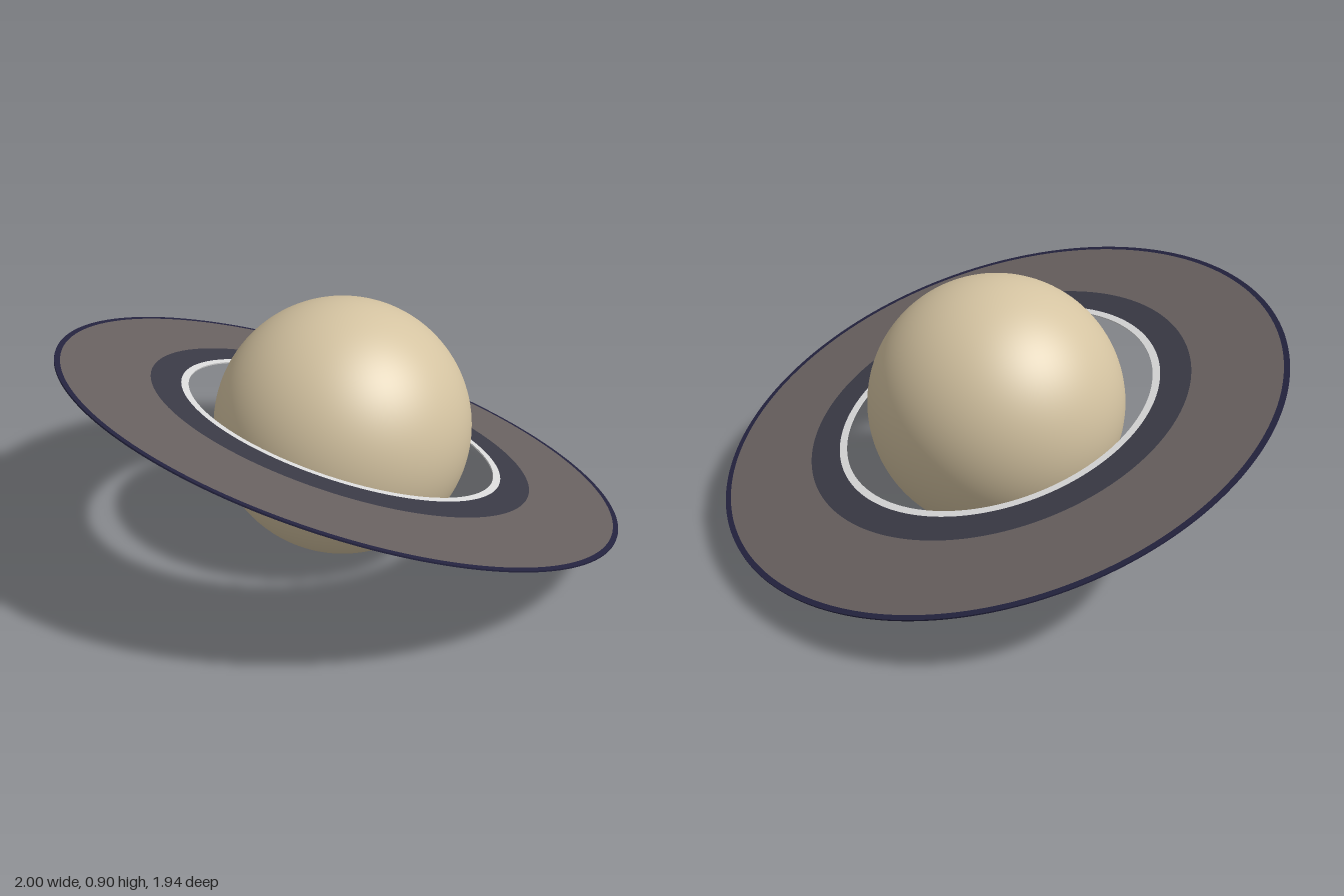
import * as THREE from 'three';

const mat = (name, color) => {
  const m = new THREE.MeshStandardMaterial({ color });
  m.name = name;
  return m;
};

// Flat annulus, centred on its own thickness, facing +z
function annulus(inner, outer, depth) {
  const shape = new THREE.Shape().absarc(0, 0, outer, 0, Math.PI * 2, false);
  shape.holes.push(new THREE.Path().absarc(0, 0, inner, 0, Math.PI * 2, true));
  const geo = new THREE.ExtrudeGeometry(shape, { depth, bevelEnabled: false, curveSegments: 128 });
  return geo.translate(0, 0, -depth / 2);
}

export function createModel() {
  const model = new THREE.Group();
  model.name = 'ringedPlanet';
  const centreY = 0.452;

  // Globe resting on the ground plane
  const globe = new THREE.Mesh(new THREE.SphereGeometry(0.452, 96, 64), mat('sand', 0xd4c3a1));
  globe.name = 'globe';
  globe.position.y = centreY;
  model.add(globe);

  // Tilted ring system: high at the front and on the model's right
  const rings = new THREE.Group();
  rings.name = 'ringSystem';
  rings.position.y = centreY;
  rings.quaternion.setFromUnitVectors(
    new THREE.Vector3(0, 0, 1),
    new THREE.Vector3(0.161, 0.944, -0.289).normalize()
  );
  model.add(rings);

  // Concentric bands: name, inner radius, outer radius, material
  const bands = [
    ['innerPaleBand', 0.558, 0.584, mat('pale grey', 0xdcdcdc)],
    ['innerDarkBand', 0.584, 0.69, mat('slate blue', 0x3a3a46)],
    ['mainBand', 0.69, 0.994, mat('warm grey', 0x686160)],
    ['outerRim', 0.994, 1.013, mat('dark navy', 0x24233f)],
  ];
  for (const [name, inner, outer, material] of bands) {
    const band = new THREE.Mesh(annulus(inner, outer, 0.005), material);
    band.name = name;
    rings.add(band);
  }
  return model;
}
